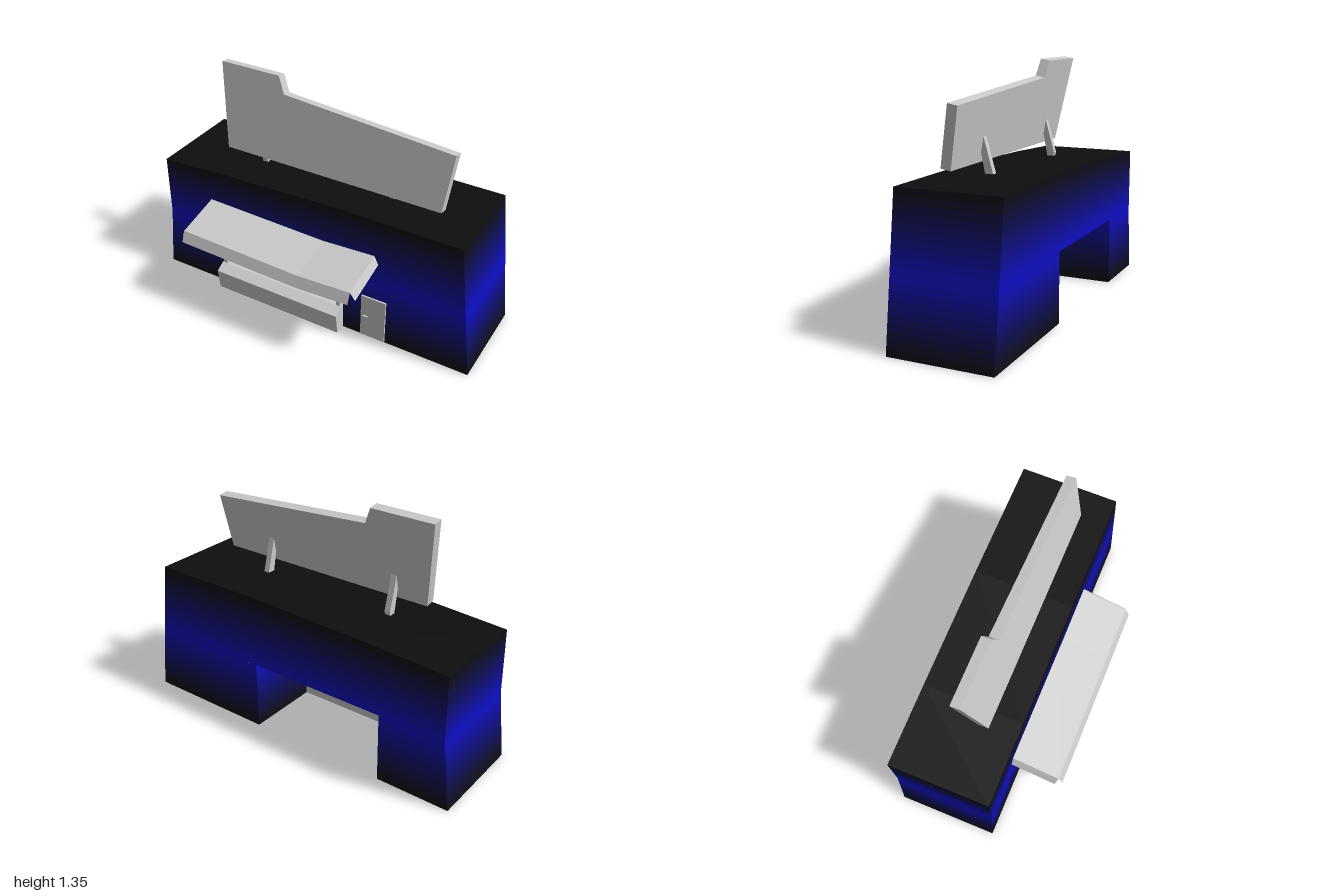
import * as THREE from 'three';

const GREY = 0xcccccc;
const FRONT = 0.14, BACK = -0.43;   // wall planes
const OPEN_L = -0.58, OPEN_R = 0.23; // passage sides
const EAVE = 0.39;                   // passage ceiling

const mat = (color = GREY, side = THREE.FrontSide) =>
  new THREE.MeshStandardMaterial({ color, side });

function add(group, name, geometry, material = mat()) {
  const mesh = new THREE.Mesh(geometry, material);
  mesh.name = name;
  group.add(mesh);
  return mesh;
}

// Flat quads from corner points, counter-clockwise from outside
function quads(list) {
  const pos = [];
  for (const [a, b, c, d] of list) pos.push(...a, ...b, ...c, ...a, ...c, ...d);
  const g = new THREE.BufferGeometry();
  g.setAttribute('position', new THREE.Float32BufferAttribute(pos, 3));
  g.computeVertexNormals();
  return g;
}

// Outline in x, y pushed along z
function plate(points, z0, z1) {
  const shape = new THREE.Shape(points.map(p => new THREE.Vector2(...p)));
  return new THREE.ExtrudeGeometry(shape, { depth: z1 - z0, bevelEnabled: false }).translate(0, 0, z0);
}

// Outline in z, y pushed along x
function bar(points, x0, x1) {
  return plate(points, 0, x1 - x0).rotateY(-Math.PI / 2).translate(x1, 0, 0);
}

function box(x0, x1, y0, y1, z0, z1) {
  return new THREE.BoxGeometry(x1 - x0, y1 - y0, z1 - z0)
    .translate((x0 + x1) / 2, (y0 + y1) / 2, (z0 + z1) / 2);
}

// Band of wall between two closed rings of points
function band(lower, upper) {
  return lower.map((a, i) => {
    const j = (i + 1) % lower.length;
    return [a, lower[j], upper[j], upper[i]];
  });
}

// Ring of front points followed by the matching back points
const ring = pts => [
  ...pts.map(([x, y]) => [x, y, FRONT]),
  ...pts.slice().reverse().map(([x, y]) => [x, y, BACK]),
];

// Wall colour fades from blue at mid height to near black
function wallColor(fade) {
  return new THREE.Color().setRGB(0.055, 0.055, 0.055 + 0.745 * fade, THREE.SRGBColorSpace);
}

function buildBuilding() {
  const g = new THREE.Group();
  g.name = 'building';
  const rows = 10;
  const leftEnd = y => -1 + 0.04 * Math.min(1, y / EAVE);
  const rightEnd = y => 1 - 0.125 * y;
  const roofLine = [[-0.96, 0.752], [-0.5, 0.777], [0.2, 0.8], [0.9, 0.8]];

  // Two legs beside the passage, open underneath
  const leg = (y, right) => ring(right
    ? [[OPEN_R, y], [rightEnd(y), y]]
    : [[leftEnd(y), y], [OPEN_L, y]]);
  // Upper storey, growing up to the sloping roof line
  const upper = t => ring(roofLine.map(([x, top], i) => {
    const y = EAVE + (top - EAVE) * t;
    return [i === 3 ? rightEnd(y) : x, y];
  }));

  for (let i = 0; i < rows; i++) {
    const t0 = i / rows, t1 = (i + 1) / rows, mid = (t0 + t1) / 2;
    const y0 = t0 * EAVE, y1 = t1 * EAVE;
    add(g, 'lowerWall', quads([
      ...band(leg(y0, false), leg(y1, false)),
      ...band(leg(y0, true), leg(y1, true)),
    ]), mat(wallColor(mid), THREE.DoubleSide));
    add(g, 'upperWall', quads(band(upper(t0), upper(t1))),
      mat(wallColor(1 - mid), THREE.DoubleSide));
  }

  // Passage ceiling and roof
  add(g, 'passageCeiling', quads([[
    [OPEN_L, EAVE, BACK], [OPEN_R, EAVE, BACK], [OPEN_R, EAVE, FRONT], [OPEN_L, EAVE, FRONT],
  ]]), mat(wallColor(0.6), THREE.DoubleSide));
  add(g, 'roof', quads(roofLine.slice(1).map(([x1, y1], i) => {
    const [x0, y0] = roofLine[i];
    return [[x0, y0, FRONT], [x1, y1, FRONT], [x1, y1, BACK], [x0, y0, BACK]];
  })), mat(wallColor(0), THREE.DoubleSide));
  return g;
}

function buildStand() {
  const g = new THREE.Group();
  g.name = 'servingStand';
  add(g, 'counter', bar([[0, 0], [0.205, 0], [0.222, 0.13], [0.165, 0.16], [0, 0.16]],
    OPEN_L - 0.003, OPEN_R + 0.003));
  for (const x of [-0.575, 0.2])
    add(g, 'post', box(x, x + 0.022, 0.15, 0.39, 0.14, 0.162));
  add(g, 'beam', plate([[-0.58, 0.385], [-0.37, 0.365], [0.06, 0.375], [0.23, 0.38],
    [0.23, 0.42], [0.06, 0.4], [-0.58, 0.405]], 0.138, 0.165));
  return g;
}

function buildAwning() {
  const g = new THREE.Group();
  g.name = 'awning';
  // Stations across the width: x and sag
  const stations = [[-0.65, 0], [0.1, 0.018], [0.415, 0]];
  const section = ([x, sag]) => [
    [x, 0.575 - sag, 0.14], [x, 0.513 - sag, 0.405], [x, 0.45 - sag, 0.43],
  ];
  const top = [], valance = [];
  for (let i = 0; i < stations.length - 1; i++) {
    const a = section(stations[i]), b = section(stations[i + 1]);
    top.push([a[1], b[1], b[0], a[0]]);
    valance.push([a[2], b[2], b[1], a[1]]);
  }
  // Flared side skirts
  const skirts = [[stations[0][0], -1], [stations[2][0], 1]].map(([x, s]) => {
    const q = [
      [x, 0.575, 0.14], [x, 0.513, 0.405],
      [x + s * 0.025, 0.46, 0.393], [x + s * 0.025, 0.525, 0.14],
    ];
    return s < 0 ? q.reverse() : q;
  });
  const cloth = mat(GREY, THREE.DoubleSide);
  add(g, 'awningTop', quads(top), cloth);
  add(g, 'awningValance', quads(valance), cloth);
  add(g, 'awningSkirts', quads(skirts), cloth);
  return g;
}

function buildDoor() {
  const g = new THREE.Group();
  g.name = 'door';
  add(g, 'doorPanel', box(0.35, 0.5, 0.008, 0.285, 0.12, 0.15));
  add(g, 'doorHandle', box(0.365, 0.395, 0.145, 0.153, 0.15, 0.16));
  return g;
}

function buildSign() {
  const g = new THREE.Group();
  g.name = 'roofSign';
  // Heights measured along the board, which leans back
  const board = add(g, 'signBoard', plate([[-0.61, 0], [0.71, 0], [0.74, 0.322],
    [-0.27, 0.394], [-0.31, 0.489], [-0.68, 0.489]], -0.056, 0));
  board.rotation.x = -0.175;
  board.position.set(0, 0.866, -0.005);
  for (const x of [-0.438, 0.375])
    add(g, 'signStrut', bar([[-0.13, 0.77], [-0.097, 0.77], [-0.067, 0.92], [-0.083, 0.99], [-0.137, 0.8]].reverse(), x, x + 0.033));
  return g;
}

export function createModel() {
  const model = new THREE.Group();
  model.name = 'shopStand';
  model.add(buildBuilding(), buildStand(), buildAwning(), buildDoor(), buildSign());
  return model;
}
